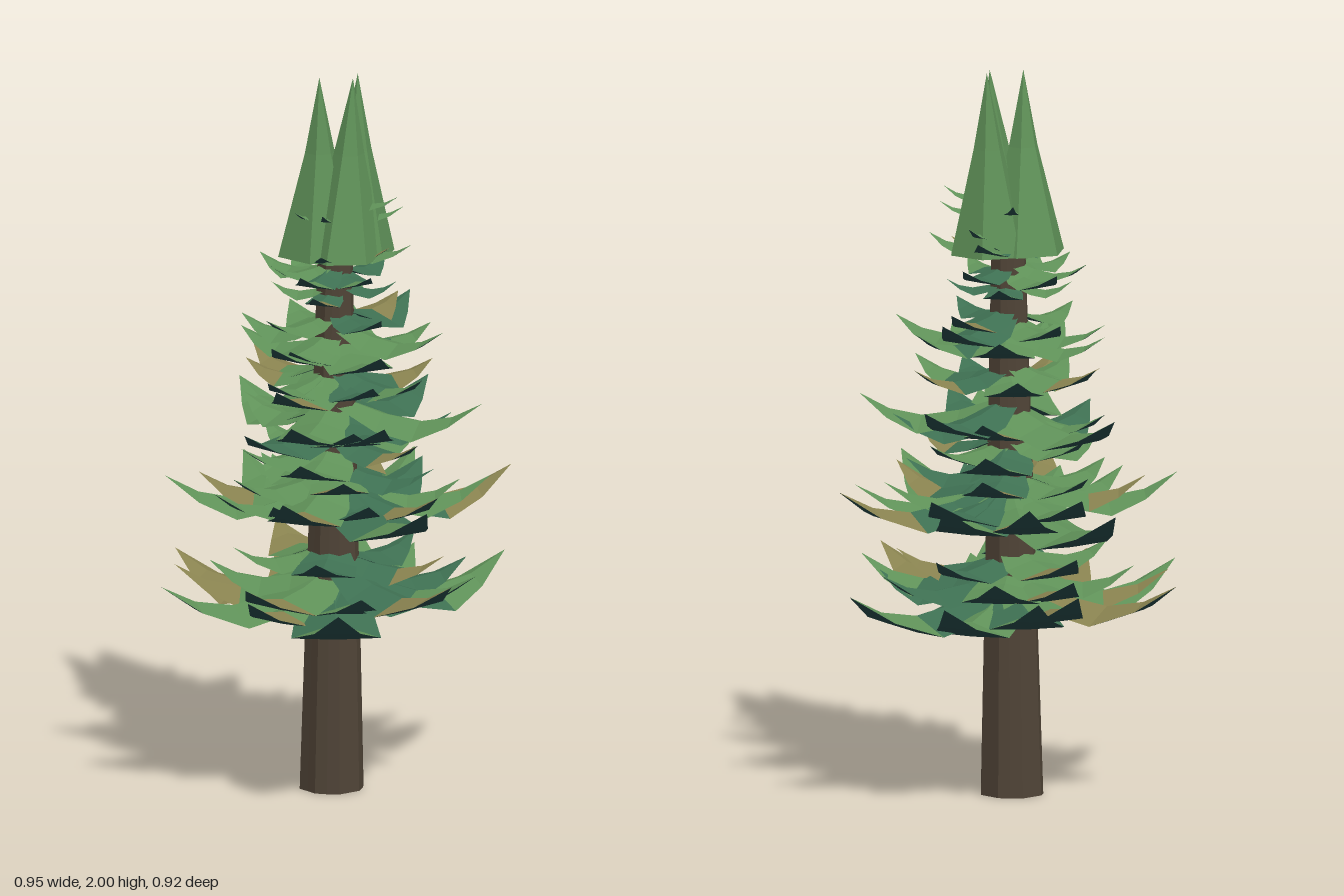
import * as THREE from 'three';

const paint = (name, color) => {
  const m = new THREE.MeshStandardMaterial({ color });
  m.name = name;
  m.flatShading = true;
  return m;
};

// Small seeded generator for natural variation
function seeded(seed) {
  return () => {
    seed = (seed * 16807) % 2147483647;
    return seed / 2147483647;
  };
}

// Frond cross-sections as fractions of length: distance, half width, ridge height from the tip
const SECTIONS = [
  [0, 0.09, 0.01], [0.33, 0.19, -0.1], [0.58, 0.215, -0.14], [0.8, 0.11, -0.1], [1, 0, 0],
];

// Arched frond along +x; groups 0 = inner top, 1 = outer top, 2 = underside
function frondGeometry(len, wide) {
  const rows = SECTIONS.map(([t, w, h]) => {
    const x = t * len, y = h * len, half = w * len * wide, drop = w * len * 0.36;
    return {
      ridge: [x, y, 0],
      left: [x, y - drop, -half],
      right: [x, y - drop, half],
      keel: [x, y - drop * 1.1, 0],
    };
  });
  const pos = [];
  const quad = (a, b, c, d, tip) => {
    pos.push(...a, ...b, ...c);
    if (!tip) pos.push(...a, ...c, ...d);
  };
  const geo = new THREE.BufferGeometry();
  let start = 0;
  const closeGroup = (material) => {
    geo.addGroup(start, pos.length / 3 - start, material);
    start = pos.length / 3;
  };
  for (let i = 0; i < 4; i++) {
    const a = rows[i], b = rows[i + 1];
    quad(a.ridge, a.right, b.right, b.ridge, i === 3);
    quad(a.left, a.ridge, b.ridge, b.left, i === 3);
    if (i === 1) closeGroup(0);
  }
  closeGroup(1);
  for (let i = 0; i < 4; i++) {
    const a = rows[i], b = rows[i + 1];
    quad(a.right, a.keel, b.keel, b.right, i === 3);
    quad(a.keel, a.left, b.left, b.keel, i === 3);
  }
  closeGroup(2);
  geo.setAttribute('position', new THREE.Float32BufferAttribute(pos, 3));
  geo.computeVertexNormals();
  return geo;
}

export function createModel() {
  const tree = new THREE.Group();
  tree.name = 'pineTree';
  const bark = paint('bark brown', 0x504437);
  const green = paint('needle green', 0x5f9158);
  const teal = paint('blue green', 0x3e7052);
  const olive = paint('dry olive', 0x88824f);
  const shade = paint('underside dark teal', 0x234343);
  const rand = seeded(417);

  // Trunk: tapering column with uneven bark ridges
  const trunkGeo = new THREE.CylinderGeometry(0.045, 0.088, 1.62, 16, 1);
  const p = trunkGeo.attributes.position;
  for (let i = 0; i < p.count; i++) {
    const x = p.getX(i), z = p.getZ(i);
    const k = Math.round(Math.atan2(z, x) / (Math.PI / 8));
    const r = [1, 0.93, 1.02, 0.97][((k % 4) + 4) % 4];
    p.setX(i, x * r + (p.getY(i) > 0 ? 0.012 : 0));
    p.setZ(i, z * r);
  }
  trunkGeo.computeVertexNormals();
  const trunk = new THREE.Mesh(trunkGeo, bark);
  trunk.name = 'trunk';
  trunk.position.set(0.02, 0.81, 0.015);
  tree.add(trunk);

  // Crown: three merged spikes, tip x and z, base x and z, base radius, turn
  const spikes = [
    [0.005, 0.055, -0.002, 0.038, 0.12, 0.3],
    [0.07, -0.04, 0.066, -0.03, 0.112, 0.26],
    [0.085, 0.01, 0.07, 0.035, 0.11, 0.1],
  ];
  spikes.forEach(([tipX, tipZ, baseX, baseZ, r, turn]) => {
    const profile = [[0, 0], [r, 0], [0.042, 0.29], [0, 0.5]].map(([x, y]) => new THREE.Vector2(x, y));
    const geo = new THREE.LatheGeometry(profile, 6, turn);
    const v = geo.attributes.position;
    for (let i = 0; i < v.count; i++) {
      const t = v.getY(i) / 0.5;
      v.setX(i, v.getX(i) + baseX + (tipX - baseX) * t);
      v.setZ(i, v.getZ(i) + baseZ + (tipZ - baseZ) * t);
    }
    geo.computeVertexNormals();
    const spike = new THREE.Mesh(geo, green);
    spike.name = 'crownSpike';
    spike.position.y = 1.5;
    tree.add(spike);
  });

  // Inner and outer top colours
  const kinds = [[green, green], [teal, green], [teal, teal], [green, olive], [teal, olive], [olive, olive]];
  function addFrond(x, z, y, kind, wide) {
    const rootX = 0.02 + 0.012 * (y / 1.6), rootZ = 0.015;
    const dx = x - rootX, dz = z - rootZ;
    const frond = new THREE.Mesh(frondGeometry(Math.hypot(dx, dz), wide), [...kinds[kind], shade]);
    frond.name = 'frond';
    frond.position.set(rootX, y, rootZ);
    frond.rotation.y = -Math.atan2(dz, dx);
    tree.add(frond);
  }

  // Long outer fronds: tip x, tip z, tip y, colour kind
  const lowFronds = [
    [0, -0.455, 0.585, 0], [0.285, -0.46, 0.6, 1], [0.455, -0.03, 0.64, 1], [0.475, 0.135, 0.645, 4],
    [0.31, 0.46, 0.61, 1], [0, 0.425, 0.6, 3], [-0.28, 0.42, 0.61, 0], [-0.36, 0.215, 0.62, 3],
    [-0.475, 0.02, 0.61, 5], [-0.31, -0.255, 0.61, 3], [-0.235, -0.35, 0.6, 1],
  ];
  const middleFronds = [
    [0.475, 0.265, 0.88, 1], [0.13, 0.455, 0.9, 3], [-0.36, 0.265, 0.88, 0], [-0.415, -0.24, 0.84, 0],
    [-0.21, -0.355, 0.86, 3], [0.01, -0.44, 0.86, 1], [0.36, -0.37, 0.87, 4], [0.375, -0.24, 0.87, 0],
    [0.41, 0.1, 0.88, 4], [-0.16, 0.34, 0.87, 0],
  ];
  const highFronds = [
    [0.42, -0.115, 1.1, 0], [-0.355, -0.12, 1.08, 0], [0.3, 0.2, 1.08, 2], [0.1, 0.36, 1.09, 0],
    [0.12, -0.33, 1.1, 2], [0.33, 0.05, 1.19, 1], [-0.255, -0.03, 1.2, 3], [0.04, 0.34, 1.18, 3],
    [0.35, -0.03, 1.31, 0], [0.08, -0.3, 1.34, 2], [0.0, 0.3, 1.29, 0], [-0.24, 0.06, 1.31, 0],
    [0.25, -0.03, 1.545, 0], [-0.2, 0.03, 1.48, 0], [0.05, 0.23, 1.48, 1], [0.03, -0.18, 1.55, 1],
  ];
  // Little shoots poking out of the crown
  const shoots = [
    [-0.01, 0.16, 1.64, 0], [0.075, 0.155, 1.64, 0], [0.21, -0.02, 1.675, 0], [0.205, -0.06, 1.64, 0],
    [0.06, -0.175, 1.59, 0], [-0.045, -0.115, 1.65, 0],
  ];
  [lowFronds, middleFronds].forEach((set) => set.forEach((f) => addFrond(...f, 1.08)));
  highFronds.forEach((f) => addFrond(...f, 1.3));
  shoots.forEach((f) => addFrond(...f, 0.65));

  // Whorls filling each tier: tip height, reach, count
  const whorls = [
    [0.62, 0.36, 7], [0.68, 0.3, 5], [0.87, 0.34, 6], [0.91, 0.29, 5], [0.99, 0.29, 6], [1.06, 0.31, 5],
    [1.18, 0.27, 5], [1.28, 0.27, 5], [1.34, 0.22, 4], [1.41, 0.16, 4], [1.47, 0.19, 4], [1.53, 0.15, 4],
  ];
  whorls.forEach(([y, reach, count], tier) => {
    for (let i = 0; i < count; i++) {
      const a = ((i + 0.3 * (rand() - 0.5)) / count) * Math.PI * 2 + tier * 2.4;
      const r = reach * (0.85 + 0.25 * rand());
      const pick = rand();
      // Blue green gathers on the +x side and towards the back
      const tealShare = Math.cos(a + 0.3) > 0 ? 0.7 : 0.12;
      let kind = 0;
      if (pick < tealShare) kind = [2, 1, 2, 4][i % 4];
      else if (pick > 0.88) kind = 3;
      addFrond(0.03 + Math.cos(a) * r, 0.015 + Math.sin(a) * r, y + 0.03 * (rand() - 0.5), kind, 1.5);
    }
  });
  return tree;
}
